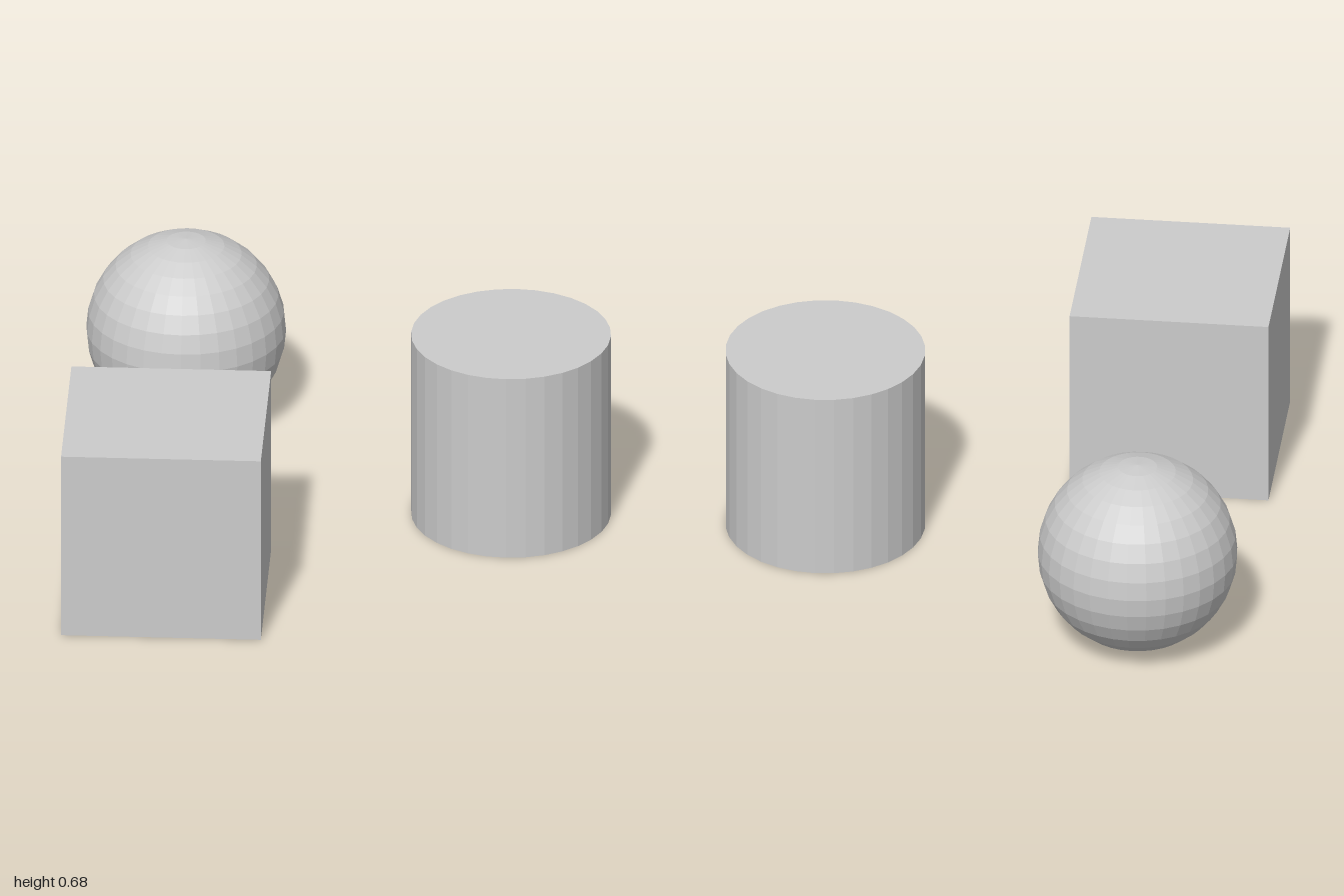
import * as THREE from 'three';

export function createModel() {
  const model = new THREE.Group();
  const material = new THREE.MeshStandardMaterial({ color: 0xcccccc, flatShading: true });
  const size = 0.68;
  const radius = size / 2;

  // Each solid rests on the ground at the given x and z
  const addSolid = (name, geometry, x, z) => {
    const mesh = new THREE.Mesh(geometry, material);
    mesh.name = name;
    mesh.position.set(x, radius, z);
    model.add(mesh);
  };

  addSolid('cube', new THREE.BoxGeometry(size, size, size), -0.57, 0.66);
  addSolid('cylinder', new THREE.CylinderGeometry(radius, radius, size, 32), 0.57, 0);
  addSolid('sphere', new THREE.SphereGeometry(radius, 32, 16), -0.57, -0.66);

  return model;
}
